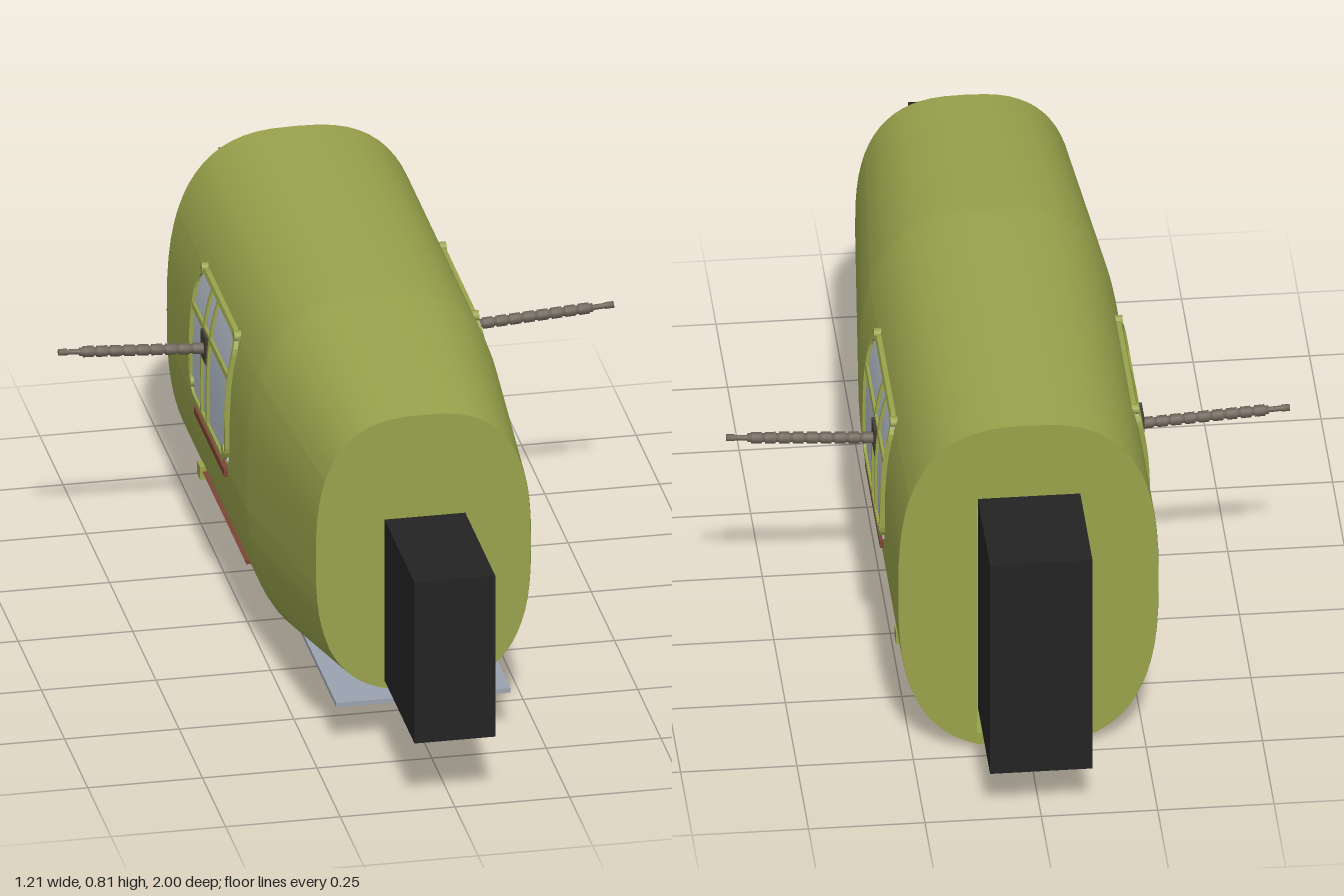
import * as THREE from 'three';

const mat = (name, color, side = THREE.FrontSide) => {
  const m = new THREE.MeshStandardMaterial({ color, side });
  m.name = name;
  return m;
};

const N = 2.75; // squareness of the hull cross-section
const MAIN = { w: 0.28, c: 0.4125, h: 0.4075 };
const NOSE = { w: 0.235, c: 0.4525, h: 0.3225 };
const HOLE = { y0: 0.335, y1: 0.645, z0: -0.07, z1: -0.39 };

const power = (v, p) => Math.sign(v) * Math.abs(v) ** p;
const ringPoint = (s, t) => [s.w * power(Math.cos(t), 2 / N), s.c + s.h * power(Math.sin(t), 2 / N)];
// half width of the main hull at a height
const sideX = (y) => MAIN.w * (1 - Math.abs((y - MAIN.c) / MAIN.h) ** N) ** (1 / N);

// ring angles, with exact stops at the window hole
function ringAngles() {
  const at = (y) => Math.asin(power((y - MAIN.c) / MAIN.h, N / 2));
  const a = [at(HOLE.y0), at(HOLE.y1)];
  for (let i = 0; i <= 32; i++) a.push(-Math.PI / 2 + (Math.PI * i) / 32);
  a.sort((p, q) => p - q);
  return [...a, ...a.slice(1, -1).reverse().map((t) => Math.PI - t)];
}

// tapered shell, leaving out the quads behind the windows
function hullGeometry() {
  const angles = ringAngles(), n = angles.length;
  const zs = [0.66, 0.16, 0.12, HOLE.z0, HOLE.z1, -0.72];
  const pos = [], index = [];
  zs.forEach((z, i) => {
    for (const t of angles) {
      const k = Math.max(0, (z - 0.14) / 0.52);
      const [ax, ay] = ringPoint(MAIN, t), [bx, by] = ringPoint(NOSE, t);
      pos.push(ax + (bx - ax) * k, ay + (by - ay) * k, z);
    }
    if (i === zs.length - 1) return;
    for (let j = 0; j < n; j++) {
      const k = (j + 1) % n;
      const y = (ringPoint(MAIN, angles[j])[1] + ringPoint(MAIN, angles[k])[1]) / 2;
      if (i === 3 && y > HOLE.y0 && y < HOLE.y1) continue;
      const a = i * n + j, b = i * n + k, d = a + n, c = b + n;
      index.push(a, d, c, a, c, b);
    }
  });
  const g = new THREE.BufferGeometry();
  g.setAttribute('position', new THREE.Float32BufferAttribute(pos, 3));
  g.setIndex(index);
  g.computeVertexNormals();
  return g;
}

// end wall with a doorway
function bulkheadGeometry(section, x, y0, y1) {
  const s = { w: section.w * 0.998, c: section.c, h: section.h * 0.998 };
  const shape = new THREE.Shape(ringAngles().map((t) => new THREE.Vector2(...ringPoint(s, t))));
  shape.holes.push(new THREE.Path([[-x, y0], [-x, y1], [x, y1], [x, y0]].map((p) => new THREE.Vector2(...p))));
  return new THREE.ExtrudeGeometry(shape, { depth: 0.03, bevelEnabled: false });
}

// thin plate bent to follow the hull side
function panelGeometry(z0, z1, y0, y1, thick, lift = 0) {
  const g = new THREE.BoxGeometry(thick, y1 - y0, z1 - z0, 1, 10, 1);
  g.translate(0, (y0 + y1) / 2, (z0 + z1) / 2);
  const p = g.attributes.position;
  for (let i = 0; i < p.count; i++) p.setX(i, p.getX(i) + sideX(p.getY(i)) + lift);
  g.computeVertexNormals();
  return g;
}

function roundedRect(s0, s1, y0, y1, r) {
  const path = new THREE.Path();
  path.absarc(s1 - r, y0 + r, r, -Math.PI / 2, 0);
  path.absarc(s1 - r, y1 - r, r, 0, Math.PI / 2);
  path.absarc(s0 + r, y1 - r, r, Math.PI / 2, Math.PI);
  path.absarc(s0 + r, y0 + r, r, Math.PI, Math.PI * 1.5);
  path.closePath();
  return path.getSpacedPoints(96).slice(0, -1);
}

// rounded window surround bent to follow the hull side
function frameGeometry() {
  const shape = new THREE.Shape(roundedRect(0.045, 0.435, 0.353, 0.657, 0.045));
  shape.holes.push(new THREE.Path(roundedRect(0.055, 0.425, 0.365, 0.647, 0.037)));
  const g = new THREE.ExtrudeGeometry(shape, { depth: 0.016, bevelEnabled: false });
  const p = g.attributes.position;
  for (let i = 0; i < p.count; i++) {
    const s = p.getX(i), y = p.getY(i), d = p.getZ(i);
    p.setXYZ(i, sideX(y) + d - 0.006, y, -s);
  }
  g.computeVertexNormals();
  return g;
}

// ribbed barrel jacket with a slim muzzle
function barrelGeometry() {
  const pts = [[0, -0.06], [0.012, -0.06], [0.012, 0.02]];
  for (let i = 0; i < 9; i++) {
    const y = 0.02 + i * 0.03;
    pts.push([0.0125, y], [0.0125, y + 0.022], [0.0095, y + 0.022], [0.0095, y + 0.03]);
  }
  pts.push([0.006, 0.29], [0.006, 0.318], [0.0075, 0.318], [0.0075, 0.336], [0, 0.336]);
  return new THREE.LatheGeometry(pts.map((p) => new THREE.Vector2(...p)), 14);
}

export function createModel() {
  const hullGreen = mat('hull green', 0x98a24b, THREE.DoubleSide);
  const black = mat('black', 0x232323);
  const glass = mat('pale glass', 0xb2bcc6);
  const steel = mat('plate steel', 0x9aa2b0);
  const rust = mat('rust brown', 0x7c4434);
  const gunmetal = mat('gunmetal', 0x6b6257);
  const darkMount = mat('dark mount', 0x453d34);

  const model = new THREE.Group();
  model.name = 'fuselageSection';
  const add = (parent, name, geometry, material, x = 0, y = 0, z = 0) => {
    const m = new THREE.Mesh(geometry, material);
    m.name = name;
    m.position.set(x, y, z);
    parent.add(m);
    return m;
  };

  // shell and end walls
  add(model, 'hull', hullGeometry(), hullGreen);
  add(model, 'frontBulkhead', bulkheadGeometry(NOSE, 0.09, 0.137, 0.592), hullGreen, 0, 0, 0.63);
  add(model, 'rearBulkhead', bulkheadGeometry(MAIN, 0.11, 0.045, 0.62), hullGreen, 0, 0, -0.72);

  // blocks beyond each doorway
  add(model, 'frontBlock', new THREE.BoxGeometry(0.176, 0.38, 0.323), black, 0, 0.353, 0.8385);
  add(model, 'rearBlock', new THREE.BoxGeometry(0.22, 0.53, 0.264), black, 0, 0.385, -0.868);

  // flat plate under the nose
  add(model, 'nosePlate', new THREE.BoxGeometry(0.38, 0.01, 0.4), steel, 0, 0.106, 0.46);

  // window, gun and trim, repeated on both sides
  for (const side of [1, -1]) {
    const g = new THREE.Group();
    g.name = side > 0 ? 'leftSide' : 'rightSide';
    g.scale.x = side;
    model.add(g);

    add(g, 'windowGlass', panelGeometry(-0.425, -0.055, 0.36, 0.65, 0.006, 0.001), glass);
    add(g, 'windowFrame', frameGeometry(), hullGreen);
    for (const z of [-0.247, -0.31])
      add(g, 'windowUpright', panelGeometry(z - 0.005, z + 0.005, 0.36, 0.652, 0.014, 0.003), hullGreen);
    add(g, 'windowCrossbar', panelGeometry(-0.43, -0.05, 0.553, 0.565, 0.014, 0.003), hullGreen);
    for (const z of [-0.065, -0.415])
      for (const y of [0.385, 0.65]) {
        const bolt = add(g, 'frameBolt', new THREE.CylinderGeometry(0.012, 0.012, 0.016, 10), hullGreen, sideX(y) + 0.004, y, z);
        bolt.rotation.z = Math.PI / 2;
      }

    // gun
    add(g, 'gunMount', new THREE.BoxGeometry(0.03, 0.062, 0.056), darkMount, 0.275, 0.528, -0.28);
    const barrel = add(g, 'gunBarrel', barrelGeometry(), gunmetal, 0.27, 0.524, -0.28);
    barrel.rotation.z = -Math.PI / 2 + 0.062;

    // trim strips
    add(g, 'sillStrip', panelGeometry(-0.395, -0.07, 0.317, 0.335, 0.012, 0.002), rust);
    add(g, 'lowerRail', panelGeometry(-0.46, 0, 0.14, 0.15, 0.014, 0.003), rust);
    add(g, 'railEnd', new THREE.BoxGeometry(0.03, 0.03, 0.032), hullGreen, sideX(0.145) + 0.002, 0.146, -0.47);
  }
  return model;
}
